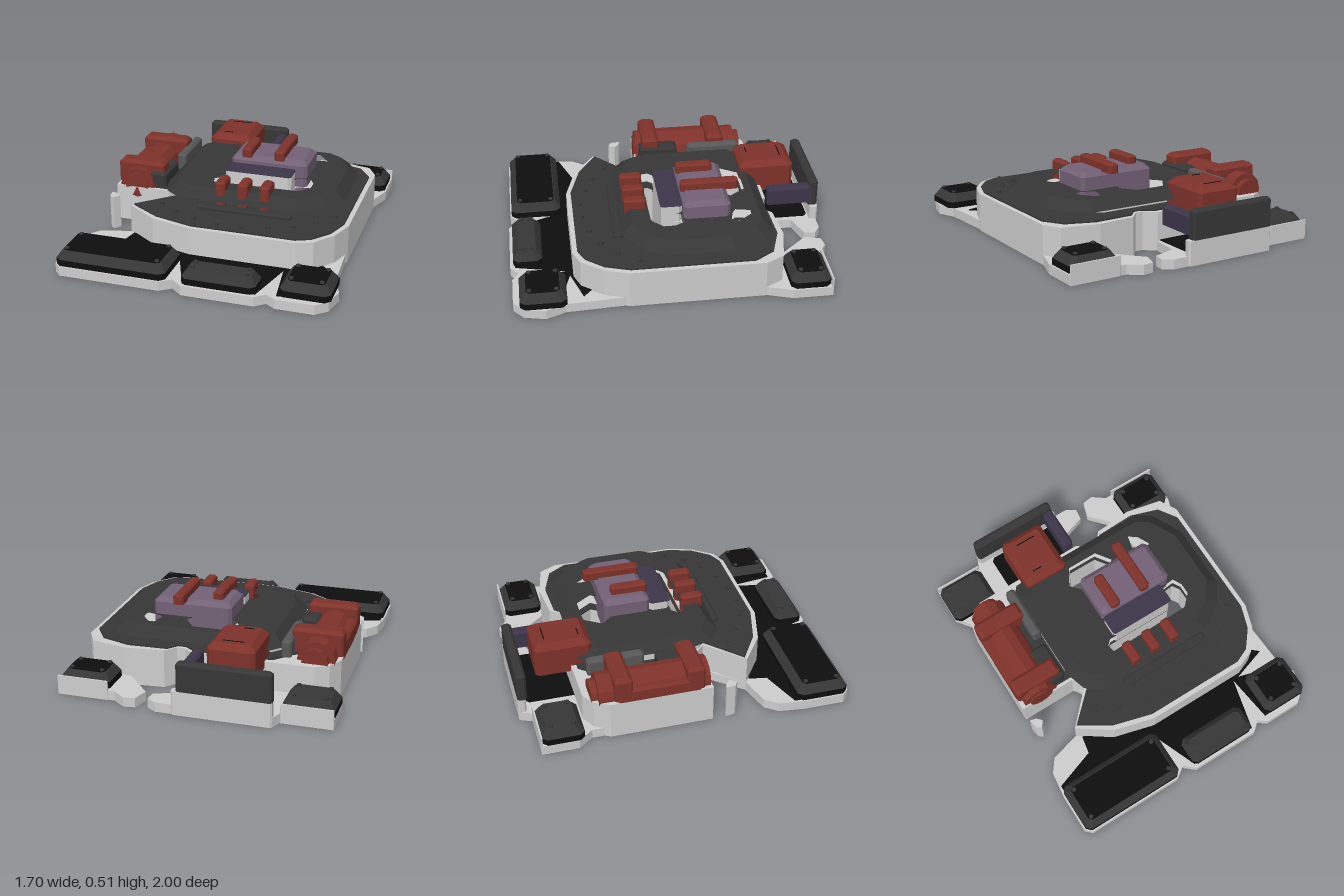
import * as THREE from 'three';

const mat = (name, color) => Object.assign(new THREE.MeshStandardMaterial({ color }), { name });

export function createModel() {
  const group = new THREE.Group();
  const light = mat('light grey', 0xcdcdcd), dark = mat('dark grey', 0x363636);
  const black = mat('black', 0x0e0e0e), red = mat('rust red', 0x7e322a);
  const mauve = mat('mauve', 0x736176), violet = mat('dark violet', 0x3c3548);
  const steel = mat('steel grey', 0x575757);

  const add = (name, geo, material) => {
    const mesh = new THREE.Mesh(geo, material);
    mesh.name = name;
    group.add(mesh);
    return mesh;
  };
  const vecs = (pts) => pts.map(([x, z]) => new THREE.Vector2(x, -z));

  // Upright prism from an (x, z) outline; the top of the outer wall may be drawn inwards
  function prism(name, outline, y0, y1, material, holes = [], inset = 0) {
    const outer = vecs(outline);
    const shape = new THREE.Shape(outer);
    shape.holes = holes.map((h) => new THREE.Path(vecs(h)));
    const geo = new THREE.ExtrudeGeometry(shape, { depth: y1 - y0, bevelEnabled: false });
    if (inset) {
      const box = new THREE.Box2().setFromPoints(outer);
      const c = box.getCenter(new THREE.Vector2()), s = box.getSize(new THREE.Vector2());
      const p = geo.attributes.position, v = new THREE.Vector2();
      for (let i = 0; i < p.count; i++) {
        v.set(p.getX(i), p.getY(i));
        if (p.getZ(i) > 1e-5 && outer.some((o) => o.distanceTo(v) < 1e-4)) {
          p.setXY(i, c.x + (v.x - c.x) * (1 - 2 * inset / s.x), c.y + (v.y - c.y) * (1 - 2 * inset / s.y));
        }
      }
      geo.computeVertexNormals();
    }
    geo.rotateX(-Math.PI / 2).translate(0, y0, 0);
    return add(name, geo, material);
  }

  // Rectangle with cut corners
  const rect = (x0, x1, z0, z1, c = 0.02) => [
    [x0 + c, z0], [x1 - c, z0], [x1, z0 + c], [x1, z1 - c],
    [x1 - c, z1], [x0 + c, z1], [x0, z1 - c], [x0, z0 + c]];

  // Box with a bevelled top
  function block(name, x0, x1, y0, y1, z0, z1, material, bevel = 0.015, corner = 0.012) {
    const r = rect(x0, x1, z0, z1, corner);
    prism(name, r, y0, y1 - bevel, material);
    prism(name + 'Top', r, y1 - bevel, y1, material, [], bevel);
  }

  // Openings cut right through the body
  const holes = [
    [[-0.13, -0.39], [-0.06, -0.5], [0.13, -0.5], [0.2, -0.4], [0.13, -0.3], [-0.05, -0.3]],
    [[0.36, -0.4], [0.38, -0.49], [0.42, -0.49], [0.49, -0.4], [0.46, -0.36], [0.39, -0.38]],
    [[-0.13, 0.09], [-0.1, 0.06], [0.34, 0.06], [0.37, -0.06], [0.46, -0.07], [0.49, -0.02],
      [0.49, 0.06], [0.42, 0.13], [-0.12, 0.14]],
  ];

  // Base slab with corner feet
  prism('baseSlab', [
    [-0.58, 0.41], [-0.77, 0.46], [-0.83, 0.54], [-0.85, 0.7], [-0.85, 0.95], [-0.81, 0.99],
    [-0.18, 0.99], [-0.11, 0.94], [-0.04, 1], [0.4, 1], [0.46, 0.95], [0.52, 0.99], [0.75, 0.99],
    [0.82, 0.93], [0.85, 0.8], [0.8, 0.68], [0.78, 0.3], [0.78, -0.5], [0.84, -0.68], [0.84, -0.92],
    [0.52, -0.92], [0.48, -0.92], [0.4, -0.98], [0.33, -0.97], [0.3, -0.87], [0.47, -0.68], [0.47, -0.64],
    [0.26, -0.63], [0.2, -0.57], [0.15, -0.57], [0.08, -0.63], [0.1, -0.83], [0.25, -0.88],
    [0.26, -0.95], [0.2, -0.99], [-0.5, -0.99], [-0.53, -0.92], [-0.84, -0.92], [-0.84, -0.7],
    [-0.77, -0.61], [-0.77, 0.1], [-0.44, 0.1], [-0.39, 0.19]], 0, 0.06, light, holes);
  prism('frontFloor', [
    [-0.55, 0.44], [-0.57, 0.55], [-0.83, 0.64], [-0.83, 0.95], [-0.2, 0.97], [-0.15, 0.7], [-0.04, 0.97],
    [0.4, 0.97], [0.48, 0.64], [0.52, 0.95], [0.78, 0.93], [0.8, 0.72], [0.52, 0.64], [0.74, 0.57],
    [0.6, 0.45]], 0.06, 0.067, black);
  prism('rearFloor', rect(-0.42, 0.06, -0.94, -0.62), 0.06, 0.068, black);

  // Hull wall with a light rim and a dark top
  prism('hull', [
    [-0.79, -0.5], [-0.79, 0.13], [-0.43, 0.13], [-0.37, 0.19], [-0.58, 0.41], [-0.38, 0.55], [-0.12, 0.62],
    [0.54, 0.62], [0.64, 0.58], [0.74, 0.45], [0.79, 0.3], [0.79, -0.52], [0.73, -0.63], [0.5, -0.68],
    [0.26, -0.66], [0.2, -0.59], [0.15, -0.59], [0.08, -0.65], [-0.66, -0.64], [-0.74, -0.59]],
  0, 0.24, light, holes);
  prism('hullTop', [
    [-0.5, -0.5], [-0.56, -0.46], [-0.56, 0.11], [-0.43, 0.11], [-0.34, 0.19], [-0.56, 0.4], [-0.37, 0.52],
    [-0.12, 0.59], [0.53, 0.59], [0.62, 0.55], [0.71, 0.44], [0.76, 0.29], [0.76, -0.46], [0.68, -0.58],
    [0.5, -0.64], [0.25, -0.63], [0.2, -0.57], [0.15, -0.57], [0.08, -0.62], [-0.4, -0.61]],
  0.24, 0.25, dark, holes);
  const rivets = [[-0.39, 0.35], [-0.27, 0.44], [-0.13, 0.5], [0.03, 0.54], [0.18, 0.54],
    [0.34, 0.5], [0.48, 0.44], [0.6, 0.35], [0.69, 0.23]];
  for (const [x, z] of rivets) {
    add('rivet', new THREE.CylinderGeometry(0.014, 0.016, 0.014, 8).translate(x, 0.257, z), dark);
  }
  prism('sidePost', [[-0.79, 0.21], [-0.75, 0.22], [-0.72, 0.25], [-0.75, 0.29], [-0.78, 0.27]], 0, 0.22, light);

  // Raised deck standing on a light neck
  const deck = [
    [-0.36, -0.61], [0.52, -0.61], [0.61, -0.55], [0.71, -0.35], [0.71, 0.08], [0.63, 0.2], [0.47, 0.31],
    [-0.3, 0.31], [-0.4, 0.23], [-0.44, 0.1], [-0.44, -0.52]];
  prism('deckNeck', deck.map(([x, z]) => [0.04 + (x - 0.13) * 0.84, -0.15 + (z + 0.15) * 0.8]), 0.25, 0.29, light, holes);
  prism('deck', deck, 0.29, 0.35, dark, holes, 0.065);
  block('frontStep', -0.16, 0.44, 0.25, 0.275, 0.3, 0.36, dark, 0.01);
  block('sideRail', -0.5, -0.44, 0.25, 0.355, -0.57, -0.22, steel);
  block('sideWall', -0.57, -0.46, 0.25, 0.34, -0.15, 0.1, dark);

  // Corner and front pads: black skirt, grey bevelled top, corner bolts
  function pad(name, x0, x1, z0, z1, blackTop) {
    prism(name + 'Skirt', rect(x0, x1, z0, z1, 0.03), 0.06, 0.1, black);
    prism(name, rect(x0, x1, z0, z1, 0.03), 0.1, 0.15, dark, [], 0.035);
    if (blackTop) prism(name + 'Panel', rect(x0 + 0.04, x1 - 0.04, z0 + 0.04, z1 - 0.04), 0.15, 0.154, black);
    for (const x of [x0 + 0.06, x1 - 0.06]) for (const z of [z0 + 0.06, z1 - 0.06]) {
      add(name + 'Bolt', new THREE.CylinderGeometry(0.014, 0.014, 0.012, 8).translate(x, 0.156, z), dark);
    }
  }
  pad('frontRightPad', -0.84, -0.15, 0.66, 0.98, true);
  pad('frontMiddlePad', -0.05, 0.4, 0.8, 0.98, false);
  pad('frontLeftPad', 0.53, 0.83, 0.67, 0.95, true);
  pad('rearRightPad', -0.84, -0.53, -0.915, -0.66, false);
  pad('rearLeftPad', 0.52, 0.83, -0.915, -0.67, true);
  for (const [x0, x1] of [[-0.84, -0.53], [0.52, 0.84]]) {
    prism('rearFootWall', rect(x0, x1, -0.925, -0.915, 0.002), 0, 0.12, light);
  }

  // Rear panel, its light sill, and the violet arm beside it
  prism('rearSill', rect(-0.5, 0.1, -1, -0.95, 0.01), 0, 0.15, light);
  block('rearPanel', -0.5, 0.07, 0.15, 0.33, -1, -0.94, dark);
  block('rearArm', 0, 0.07, 0.17, 0.29, -0.99, -0.67, violet);

  // Red rear box
  block('rearBox', -0.36, -0.07, 0.2, 0.41, -0.86, -0.51, red, 0.035, 0.02);
  for (const z of [-0.79, -0.58]) {
    prism('boxSeam', rect(-0.28, z < -0.7 ? -0.15 : -0.22, z, z + 0.006, 0.001), 0.41, 0.413, black);
  }

  // Red side drum held by two clamps
  const drum = (name, r, z0, z1) => add(name,
    new THREE.CylinderGeometry(r, r, z1 - z0, 12).toNonIndexed().rotateX(Math.PI / 2)
      .translate(-0.65, 0.25, (z0 + z1) / 2), red).geometry.computeVertexNormals();
  drum('drum', 0.115, -0.56, 0.12);
  drum('drumCap', 0.08, -0.6, 0.13);
  block('drumCradle', -0.79, -0.57, 0.22, 0.32, -0.45, 0.06, red);
  for (const z of [-0.47, -0.03]) block('drumClamp', -0.79, -0.48, 0.25, 0.4, z, z + 0.11, red, 0.02);

  // Central mauve block, violet lid in front, red bars
  block('centreBlock', -0.07, 0.43, 0.21, 0.46, -0.36, -0.07, mauve, 0.03, 0.02);
  prism('lidBase', rect(-0.07, 0.36, -0.07, 0.06), 0.21, 0.4, light);
  block('lid', -0.07, 0.36, 0.4, 0.41, -0.07, 0.065, violet, 0.005);
  block('topBar', 0, 0.065, 0.45, 0.51, -0.3, -0.07, red, 0.01);
  block('topBar', 0.215, 0.28, 0.45, 0.51, -0.43, -0.07, red, 0.01);
  for (const x of [-0.07, 0.075, 0.215]) block('frontPeg', x, x + 0.065, 0.25, 0.41, 0.14, 0.28, red, 0.012);

  return group;
}
